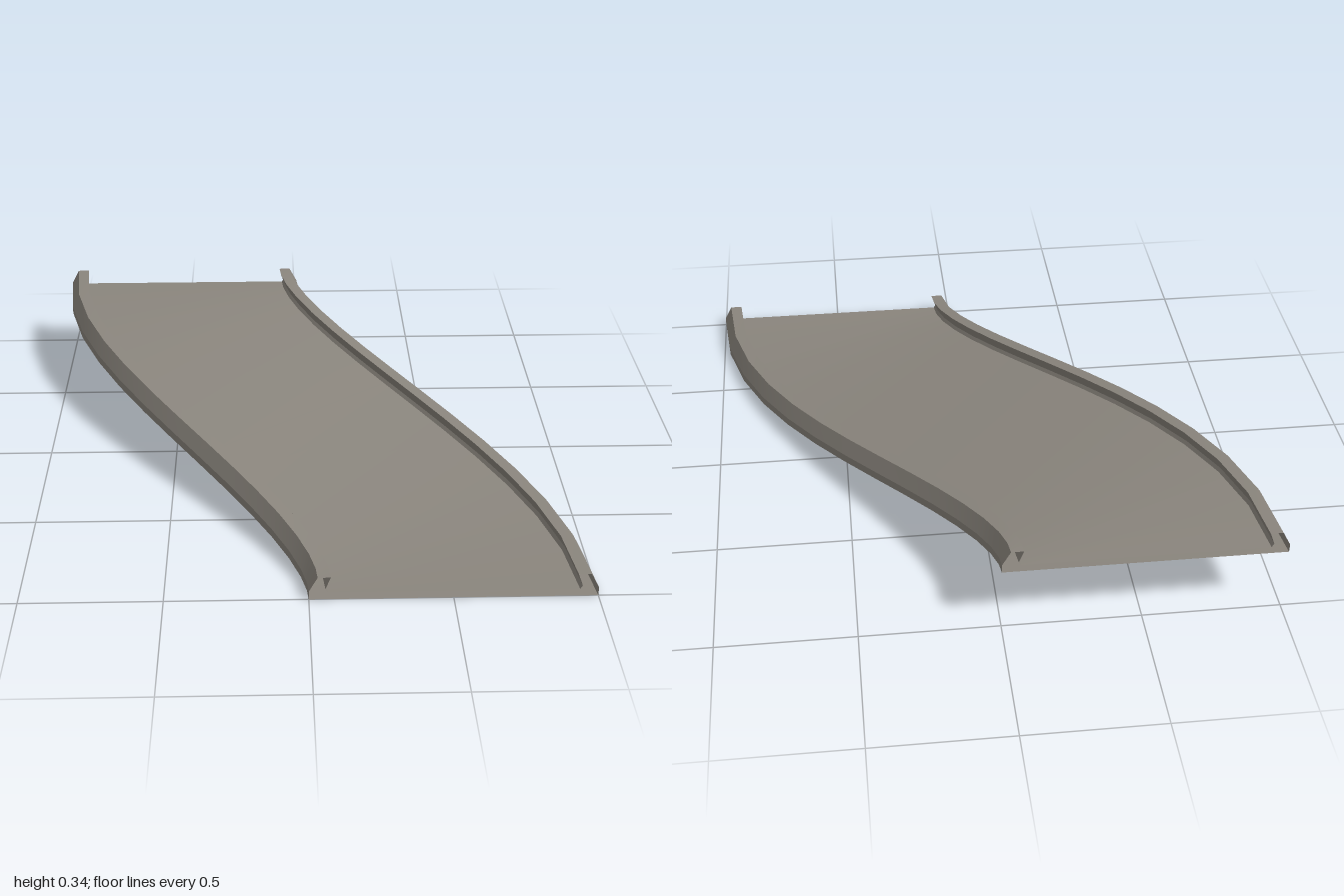
import * as THREE from 'three';

const STEPS = 14; // sections along the path
const RISE = 0.255; // climb from the front end to the back end

// Cross-section of the right half: outer foot, kerb, undercut lip, floor edge
const HALF = [[0.5, 0], [0.5, 0.033], [0.47, 0.09], [0.425, 0.09], [0.443, 0.042], [0.435, 0.028]];
const PROFILE = [...HALF, ...HALF.map(([x, y]) => [-x, y]).reverse()];

// Point of the profile carried along the S-shaped, rising centre line
function sweep([across, up], t) {
  const s = t * t * (3 - 2 * t);
  const angle = Math.atan(3 * t * (1 - t));
  return [
    0.5 - s + across * Math.cos(angle),
    RISE * s + up,
    1 - 2 * t - across * Math.sin(angle),
  ];
}

// Strip between two neighbouring profile points, smooth along its length
function strip(p, q) {
  const positions = [];
  const index = [];
  for (let i = 0; i <= STEPS; i++) {
    positions.push(...sweep(p, i / STEPS), ...sweep(q, i / STEPS));
    if (i < STEPS) {
      const a = i * 2;
      index.push(a, a + 2, a + 1, a + 1, a + 2, a + 3);
    }
  }
  const geometry = new THREE.BufferGeometry();
  geometry.setAttribute('position', new THREE.Float32BufferAttribute(positions, 3));
  geometry.setIndex(index);
  geometry.computeVertexNormals();
  return geometry;
}

export function createModel() {
  const model = new THREE.Group();
  model.name = 'curvedRamp';
  const stone = new THREE.MeshStandardMaterial({ color: 0x8a857d, side: THREE.DoubleSide });
  stone.name = 'warm grey';

  const kerbFaces = ['OuterFoot', 'OuterSlope', 'Top', 'Undercut', 'InnerFoot'];
  const names = [
    ...kerbFaces.map((n) => 'leftKerb' + n),
    'floor',
    ...kerbFaces.map((n) => 'rightKerb' + n).reverse(),
    'underside',
  ];

  // The two ends stay open, so the shell is hollow
  PROFILE.forEach((p, j) => {
    const mesh = new THREE.Mesh(strip(p, PROFILE[(j + 1) % PROFILE.length]), stone);
    mesh.name = names[j];
    model.add(mesh);
  });
  return model;
}
